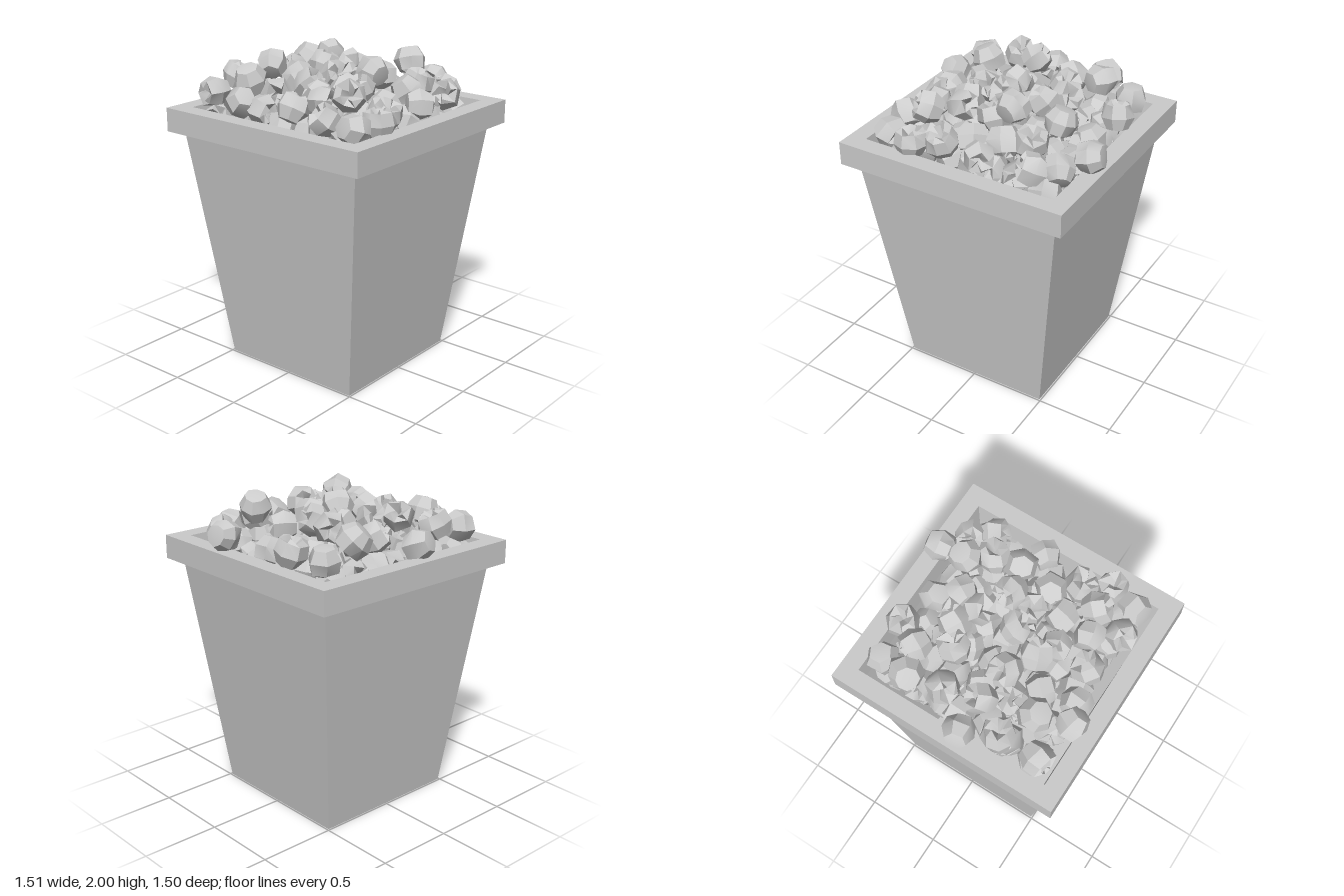
import * as THREE from 'three';
import { toCreasedNormals } from 'three/addons/utils/BufferGeometryUtils.js';

const grey = new THREE.MeshStandardMaterial({ color: 0xcccccc });
const greyFlat = new THREE.MeshStandardMaterial({ color: 0xcccccc, flatShading: true });

// small seeded random generator
function makeRandom(seed) {
  return () => {
    seed = (seed * 16807) % 2147483647;
    return seed / 2147483647;
  };
}

// square solid: each profile point is [half width, height]
function squareLathe(profile) {
  const points = profile.map(([h, y]) => new THREE.Vector2(h * Math.SQRT2, y));
  return new THREE.LatheGeometry(points, 4, Math.PI / 4);
}

// puffed lump: a faceted barrel with a domed base and a folded, cleft crown
function lumpGeometry(sides, rand) {
  const profile = [[0, -0.088], [0.066, -0.08], [0.101, -0.01], [0.088, 0.065], [0.045, 0.085], [0, 0.015]];
  const geo = new THREE.LatheGeometry(profile.map(([r, y]) => new THREE.Vector2(r, y)), sides);
  const pos = geo.attributes.position;
  const n = profile.length;
  const wobble = Array.from({ length: sides }, () => 0.9 + 0.2 * rand());
  for (let i = 0; i < pos.count; i++) {
    const ring = i % n;
    const side = Math.floor(i / n) % sides;
    // every other crown corner folds in towards the cleft
    const fold = ring === 4 && side % 2 ? 0.5 : ring === 3 && side % 3 === 1 ? 0.8 : 1;
    const k = wobble[side] * fold;
    pos.setXYZ(i, pos.getX(i) * k, pos.getY(i) * (ring === 4 ? fold : 1), pos.getZ(i) * k);
  }
  return toCreasedNormals(geo, 0.55);
}

// resting places of the visible top pieces: x, y, z
const topPieces = [
  [-0.53, 1.76, -0.55], [-0.29, 1.82, -0.57], [-0.07, 1.75, -0.65], [0.14, 1.8, -0.49],
  [0.35, 1.83, -0.55], [0.54, 1.74, -0.51], [-0.4, 1.84, -0.37], [-0.1, 1.88, -0.46],
  [0.39, 1.88, -0.39], [-0.59, 1.75, -0.27], [-0.11, 1.82, -0.22], [0.57, 1.75, -0.26],
  [0.2, 1.85, -0.27], [0.29, 1.85, -0.14], [-0.54, 1.71, -0.14], [-0.34, 1.77, -0.2],
  [-0.21, 1.83, -0.05], [-0.49, 1.75, 0.07], [-0.27, 1.79, 0.07], [-0.04, 1.86, 0.02],
  [0.2, 1.86, -0.01], [0.37, 1.8, 0.06], [0.52, 1.69, -0.02], [-0.4, 1.8, 0.22],
  [-0.21, 1.83, 0.23], [-0.02, 1.79, 0.18], [0.11, 1.88, 0.18], [0.45, 1.9, 0.22],
  [0.66, 1.75, 0.25], [-0.54, 1.74, 0.35], [-0.36, 1.84, 0.38], [0.18, 1.78, 0.4],
  [0.33, 1.8, 0.35], [0.55, 1.72, 0.42], [-0.18, 1.72, 0.5], [-0.52, 1.7, 0.54],
  [-0.35, 1.72, 0.59], [0.1, 1.73, 0.55], [0.43, 1.73, 0.51], [-0.04, 1.72, 0.38],
];

export function createModel() {
  const model = new THREE.Group();
  model.name = 'filledBin';
  const rand = makeRandom(4711);

  // hollow tapered bin, outside first, then down the inside
  const bin = new THREE.Mesh(squareLathe([
    [0, 0], [0.49, 0], [0.675, 1.52], [0.75, 1.52], [0.75, 1.67],
    [0.637, 1.67], [0.625, 1.52], [0.45, 0.06], [0, 0.06],
  ]), greyFlat);
  bin.name = 'bin';
  model.add(bin);

  // heap of lumps
  const heap = new THREE.Group();
  heap.name = 'heap';
  model.add(heap);
  const shapes = [6, 7, 8, 6].map((sides) => lumpGeometry(sides, rand));
  function addLump(name, x, y, z, size) {
    const lump = new THREE.Mesh(shapes[Math.floor(rand() * shapes.length)], grey);
    lump.name = name;
    lump.position.set(x, y, z);
    lump.rotation.set(rand() * 6.28, rand() * 6.28, rand() * 6.28);
    lump.scale.setScalar(size);
    heap.add(lump);
  }
  for (const [x, y, z] of topPieces) addLump('topLump', x, y, z, 0.98 + 0.08 * rand());

  // filling below, slightly higher in the middle
  const count = 7;
  for (let i = 0; i < count; i++) {
    for (let j = 0; j < count; j++) {
      const x = (i / (count - 1) - 0.5) * 0.98 + (rand() - 0.5) * 0.06;
      const z = (j / (count - 1) - 0.5) * 0.98 + (rand() - 0.5) * 0.06;
      const y = 1.7 - 0.15 * Math.max(Math.abs(x), Math.abs(z)) + (rand() - 0.5) * 0.06;
      addLump('fillLump', x, y, z, 1);
      addLump('fillLump', x * 0.95, y - 0.13, z * 0.95, 1);
    }
  }
  return model;
}
